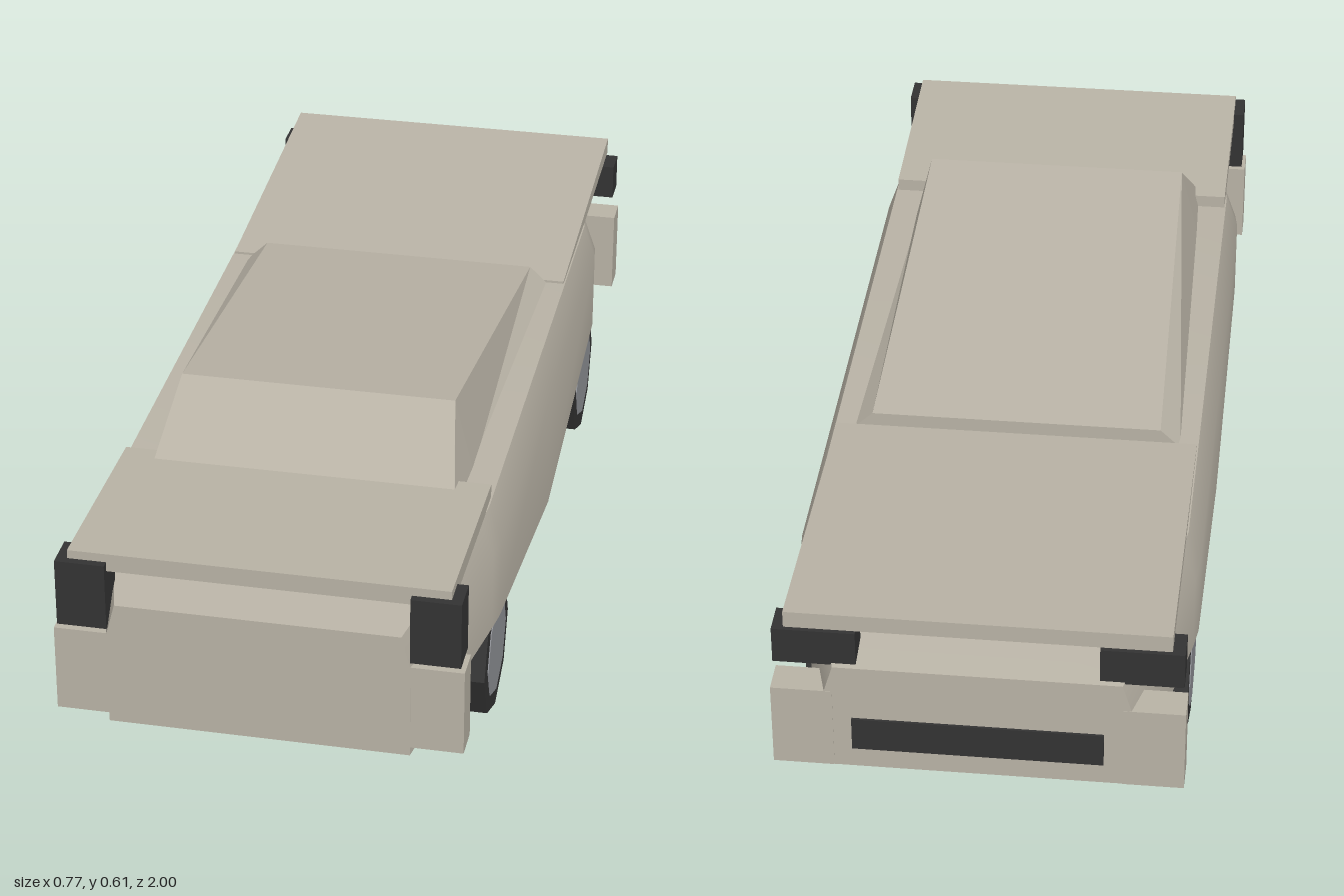
import * as THREE from 'three';
import { toCreasedNormals } from 'three/addons/utils/BufferGeometryUtils.js';

const paint = new THREE.MeshStandardMaterial({ color: 0xb8b2a5 });
paint.name = 'beigePaint';
const dark = new THREE.MeshStandardMaterial({ color: 0x333333 });
dark.name = 'darkRubber';
const metal = new THREE.MeshStandardMaterial({ color: 0x909297 });
metal.name = 'greyMetal';

// Closed loft along z. Each section is { z, half }, ordered rear to front;
// half lists the left-hand [x, y] points from bottom to top and is mirrored.
function loft(sections, crease) {
  const rings = sections.map(({ z, half }) => [
    ...half.map(([x, y]) => [x, y, z]),
    ...half.slice().reverse().map(([x, y]) => [-x, y, z]),
  ]);
  const n = rings[0].length;
  const pos = [];
  const tri = (a, b, c) => pos.push(...a, ...b, ...c);
  for (let s = 0; s < rings.length - 1; s++) {
    const a = rings[s], b = rings[s + 1];
    for (let i = 0; i < n; i++) {
      const j = (i + 1) % n;
      tri(a[i], a[j], b[i]);
      tri(a[j], b[j], b[i]);
    }
  }
  const rear = rings[0], front = rings[rings.length - 1];
  for (let i = 1; i < n - 1; i++) {
    tri(rear[0], rear[i + 1], rear[i]);
    tri(front[0], front[i], front[i + 1]);
  }
  const geo = new THREE.BufferGeometry();
  geo.setAttribute('position', new THREE.Float32BufferAttribute(pos, 3));
  geo.computeVertexNormals();
  return crease ? toCreasedNormals(geo, crease) : geo;
}

export function createModel() {
  const car = new THREE.Group();
  car.name = 'car';

  const add = (name, geo, mat, parent = car) => {
    const mesh = new THREE.Mesh(geo, mat);
    mesh.name = name;
    parent.add(mesh);
    return mesh;
  };
  // Box given by its limits
  const block = (name, mat, x0, x1, y0, y1, z0, z1) =>
    add(name, new THREE.BoxGeometry(x1 - x0, y1 - y0, z1 - z0), mat)
      .position.set((x0 + x1) / 2, (y0 + y1) / 2, (z0 + z1) / 2);

  // Lower body: tapered ends, raised wheel arches, deepest in the middle
  const bodySection = (z, bottom, w, mid, topW, top) =>
    ({ z, half: [[w, bottom], [w, mid], [topW, top]] });
  add('body', loft([
    bodySection(-0.995, 0.165, 0.285, 0.34, 0.268, 0.397),
    bodySection(-0.66, 0.232, 0.378, 0.395, 0.353, 0.466),
    bodySection(-0.61, 0.232, 0.385, 0.4, 0.36, 0.47),
    bodySection(0, 0.13, 0.385, 0.4, 0.36, 0.47),
    bodySection(0.61, 0.232, 0.385, 0.4, 0.36, 0.47),
    bodySection(0.66, 0.232, 0.378, 0.395, 0.353, 0.466),
    bodySection(1, 0.158, 0.285, 0.348, 0.268, 0.413),
  ], 0.5), paint);

  // Wedge cabin
  const cabinSection = (z, baseW, topW, top) =>
    ({ z, half: [[baseW, 0.465], [topW, top]] });
  add('cabin', loft([
    cabinSection(-0.33, 0.325, 0.285, 0.503),
    cabinSection(0.47, 0.305, 0.268, 0.613),
    cabinSection(0.64, 0.3, 0.298, 0.467),
  ]), paint);

  // Overhanging hood and rear deck, both rising outwards
  const slabSection = (z, bottom, top) =>
    ({ z, half: [[0.357, bottom], [0.357, top]] });
  add('hood', loft([slabSection(0.57, 0.465, 0.496), slabSection(0.985, 0.476, 0.512)]), paint);
  add('rearDeck', loft([slabSection(-0.985, 0.477, 0.511), slabSection(-0.33, 0.46, 0.475)]), paint);

  // Bumper corners and lamps on both sides
  for (const s of [1, -1]) {
    const side = s > 0 ? 'left' : 'right';
    const pair = (name, mat, x0, x1, ...rest) =>
      block(side + name, mat, ...(s > 0 ? [x0, x1] : [-x1, -x0]), ...rest);
    pair('FrontBumperCorner', paint, 0.27, 0.385, 0.175, 0.35, 0.935, 0.999);
    pair('RearBumperCorner', paint, 0.27, 0.385, 0.165, 0.34, -0.996, -0.93);
    pair('FrontLamp', dark, 0.284, 0.378, 0.36, 0.495, 0.93, 1);
    pair('RearLamp', dark, 0.225, 0.38, 0.395, 0.47, -0.985, -0.922);
  }

  // Dark rear panel
  block('rearPanel', dark, -0.235, 0.235, 0.21, 0.28, -1, -0.993);

  // Eight-sided wheels with hub discs on both faces
  const disc = (r, width) => new THREE.CylinderGeometry(r, r, width, 8).rotateZ(Math.PI / 2);
  const flat = (g) => toCreasedNormals(g, 0.3);
  const tyreGeo = flat(disc(0.135, 0.086));
  const hubGeo = flat(disc(0.1, 0.09));
  for (const x of [0.33, -0.33]) {
    for (const z of [0.57, -0.565]) {
      const wheel = new THREE.Group();
      wheel.name = (x > 0 ? 'left' : 'right') + (z > 0 ? 'Front' : 'Rear') + 'Wheel';
      wheel.position.set(x, 0.136, z);
      add('tyre', tyreGeo, dark, wheel);
      add('hub', hubGeo, metal, wheel);
      car.add(wheel);
    }
  }
  return car;
}
